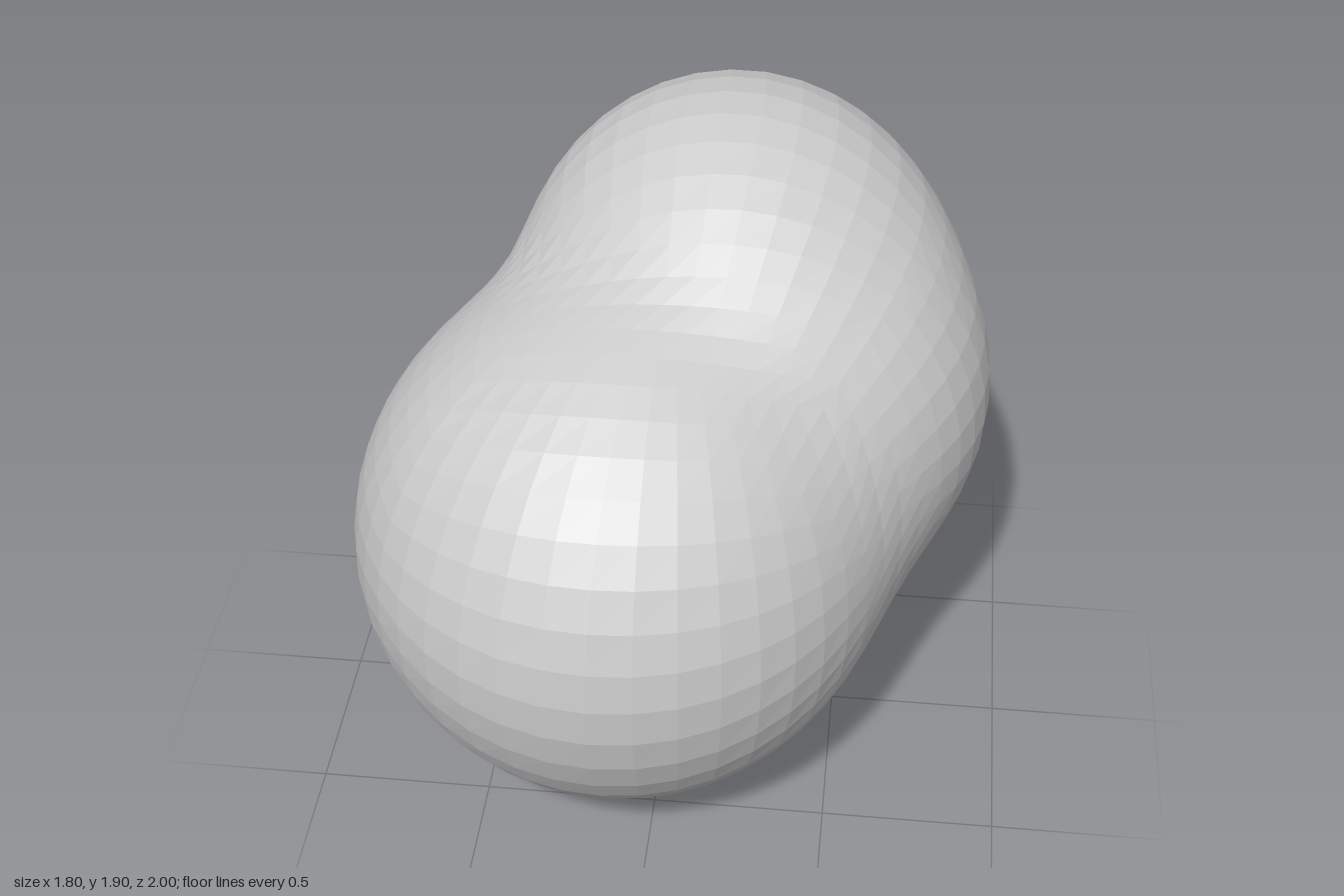
import * as THREE from 'three';

// Overlapping balls that melt together: centre and radius
const BALLS = [
  { c: new THREE.Vector3(-0.11, 0.83, 0.3), r: 0.69 },     // front lobe
  { c: new THREE.Vector3(-0.14, 0.75, 0.11), r: 0.734 },   // broad base
  { c: new THREE.Vector3(0.03, 0.72, -0.18), r: 0.58 },    // low back
  { c: new THREE.Vector3(0.28, 1.05, -0.2), r: 0.615 },    // left flank
  { c: new THREE.Vector3(0.14, 1.28, -0.38), r: 0.613 },   // raised back lobe
];
const SHARPNESS = 12;

// Smooth union of the balls: negative inside, positive outside
function blend(p) {
  let sum = 0;
  for (const { c, r } of BALLS) sum += Math.exp(-SHARPNESS * (p.distanceTo(c) - r));
  return -Math.log(sum) / SHARPNESS;
}

// Distance from the core to the blended surface along a direction
function reach(core, dir) {
  let near = 0, far = 2;
  const p = new THREE.Vector3();
  for (let i = 0; i < 30; i++) {
    const mid = (near + far) / 2;
    if (blend(p.copy(core).addScaledVector(dir, mid)) < 0) near = mid;
    else far = mid;
  }
  return near;
}

export function createModel() {
  const group = new THREE.Group();
  group.name = 'blob';

  // Grid of quads on a cube, pushed out onto the blended surface
  const geometry = new THREE.BoxGeometry(2, 2, 2, 14, 14, 14);
  const core = new THREE.Vector3(0, 0.95, -0.08);
  const pos = geometry.attributes.position;
  const dir = new THREE.Vector3();
  for (let i = 0; i < pos.count; i++) {
    dir.fromBufferAttribute(pos, i);
    // Even out the quads before projecting
    dir.set(...dir.toArray().map((v) => Math.tan((v * Math.PI) / 4))).normalize();
    const d = reach(core, dir);
    pos.setXYZ(i, core.x + dir.x * d, core.y + dir.y * d, core.z + dir.z * d);
  }
  geometry.computeVertexNormals();

  const body = new THREE.Mesh(
    geometry,
    new THREE.MeshStandardMaterial({ color: 0xcccccc, flatShading: true })
  );
  body.name = 'blobBody';
  group.add(body);
  return group;
}
